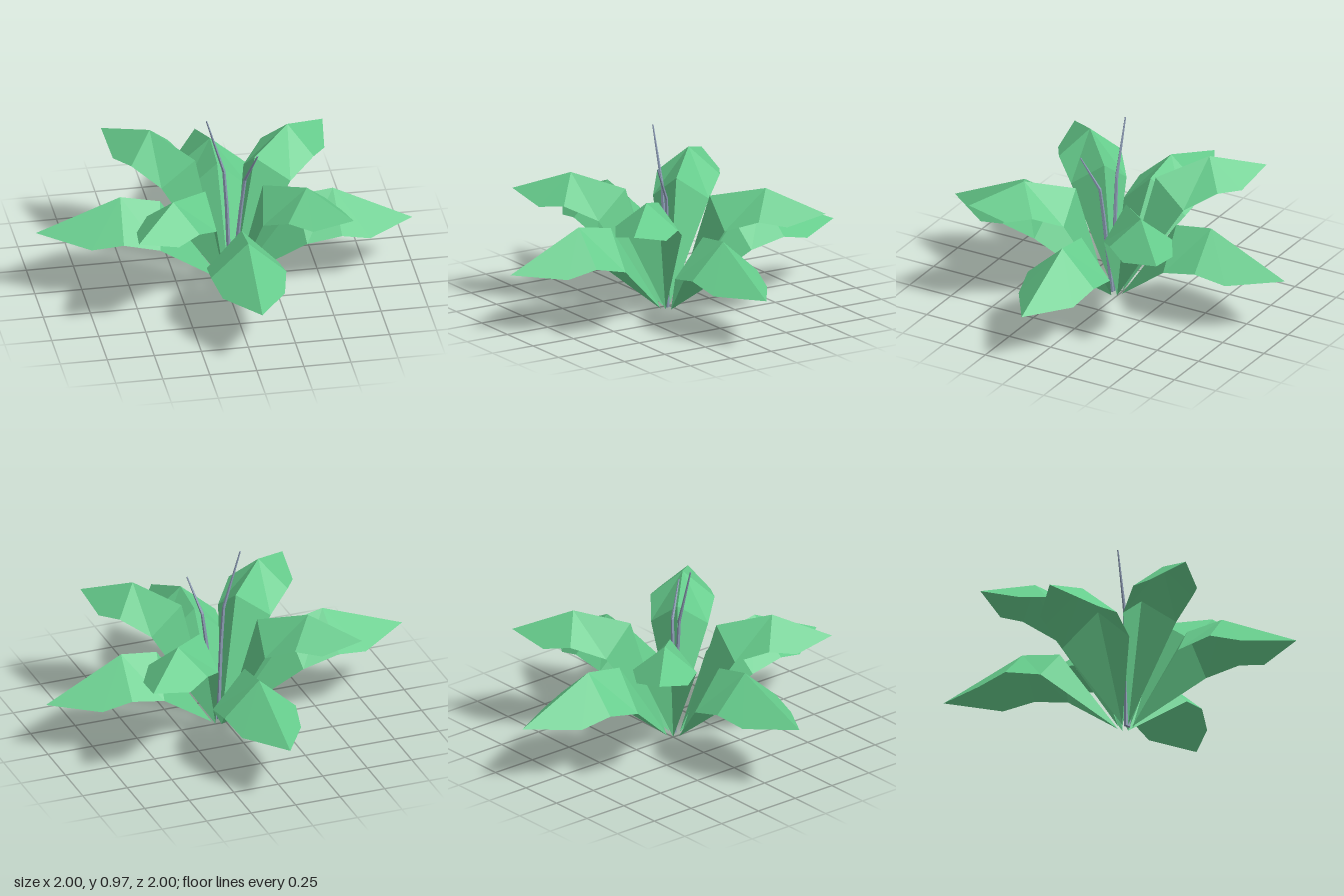
import * as THREE from 'three';

const leafGreen = new THREE.MeshStandardMaterial({ color: 0x66cc8c, flatShading: true, side: THREE.DoubleSide });
leafGreen.name = 'leafGreen';
const stemGrey = new THREE.MeshStandardMaterial({ color: 0x8c9bb4, flatShading: true });
stemGrey.name = 'stemGrey';

// Leaf profiles: ridge points [reach, height], edge points [reach, height, half width]
const longLeaf = {
  base: [0.04, 0], tip: [1, 0.33],
  ridge: [[0.36, 0.49], [0.565, 0.525]],
  edge: [[0.39, 0.3, 0.19], [0.58, 0.345, 0.2], [0.74, 0.305, 0.165]],
};
const shortLeaf = {
  base: [0.04, 0], tip: [0.82, 0.605],
  ridge: [[0.22, 0.635], [0.51, 0.71]],
  edge: [[0.33, 0.495, 0.15], [0.51, 0.57, 0.168], [0.65, 0.55, 0.135]],
};

// Roof-shaped folded leaf reaching along +x, fitted to its own tip reach and height
function leafGeometry(profile, tipReach, tipHeight) {
  const [fullReach, fullHeight] = profile.tip;
  const fit = ([r, y, w = 0], side) => [
    r * tipReach / fullReach,
    y + (tipHeight - fullHeight) * Math.max(0, r - profile.base[0]) / fullReach,
    w * side,
  ];
  const positions = [];
  for (const side of [1, -1]) {
    const [base, tip, ridgeA, ridgeB, edgeA, edgeB, edgeC] =
      [profile.base, profile.tip, ...profile.ridge, ...profile.edge].map((p) => fit(p, side));
    const faces = [
      [base, edgeA, ridgeA],
      [edgeA, ridgeB, ridgeA],
      [edgeA, edgeB, ridgeB],
      [edgeB, edgeC, ridgeB],
      [edgeC, tip, ridgeB],
    ];
    for (const [a, b, c] of faces) positions.push(...a, ...(side > 0 ? [...b, ...c] : [...c, ...b]));
  }
  const geometry = new THREE.BufferGeometry();
  geometry.setAttribute('position', new THREE.Float32BufferAttribute(positions, 3));
  geometry.computeVertexNormals();
  return geometry;
}

// Thin tapering rod between two points
function rod(from, to, r0, r1) {
  const a = new THREE.Vector3(...from);
  const direction = new THREE.Vector3(...to).sub(a);
  const length = direction.length();
  const mesh = new THREE.Mesh(new THREE.CylinderGeometry(r1, r0, length, 5), stemGrey);
  mesh.position.copy(a).addScaledVector(direction, 0.5);
  mesh.quaternion.setFromUnitVectors(new THREE.Vector3(0, 1, 0), direction.normalize());
  return mesh;
}

export function createModel() {
  const plant = new THREE.Group();
  plant.name = 'plant';

  // Eight leaves, long and short by turns: [tip reach, tip height]
  const tips = [
    [0.97, 0.275], [0.85, 0.565], [1.03, 0.325], [0.82, 0.645],
    [1.03, 0.385], [0.83, 0.6], [0.97, 0.33], [0.79, 0.61],
  ];
  tips.forEach(([reach, height], i) => {
    const isLong = i % 2 === 0;
    const leaf = new THREE.Mesh(leafGeometry(isLong ? longLeaf : shortLeaf, reach, height), leafGreen);
    leaf.name = isLong ? 'longLeaf' : 'shortLeaf';
    leaf.position.set(0.03, 0, 0.03);
    leaf.rotation.y = i * Math.PI / 4;
    plant.add(leaf);
  });

  // Two bent stems rising from the centre
  const stems = [
    [[0.03, 0.01, 0.035], [0.012, 0.45, 0.04], [-0.003, 0.66, 0.04], [-0.095, 0.97, 0.04]],
    [[0.045, 0.01, 0.04], [0.083, 0.45, 0.068], [0.102, 0.62, 0.08], [0.154, 0.805, 0.167]],
  ];
  const radii = [0.012, 0.011, 0.009, 0.004];
  for (const points of stems) {
    const stem = new THREE.Group();
    stem.name = 'stem';
    for (let i = 0; i < points.length - 1; i++) {
      const part = rod(points[i], points[i + 1], radii[i], radii[i + 1]);
      part.name = 'stemSegment';
      stem.add(part);
    }
    plant.add(stem);
  }
  return plant;
}
